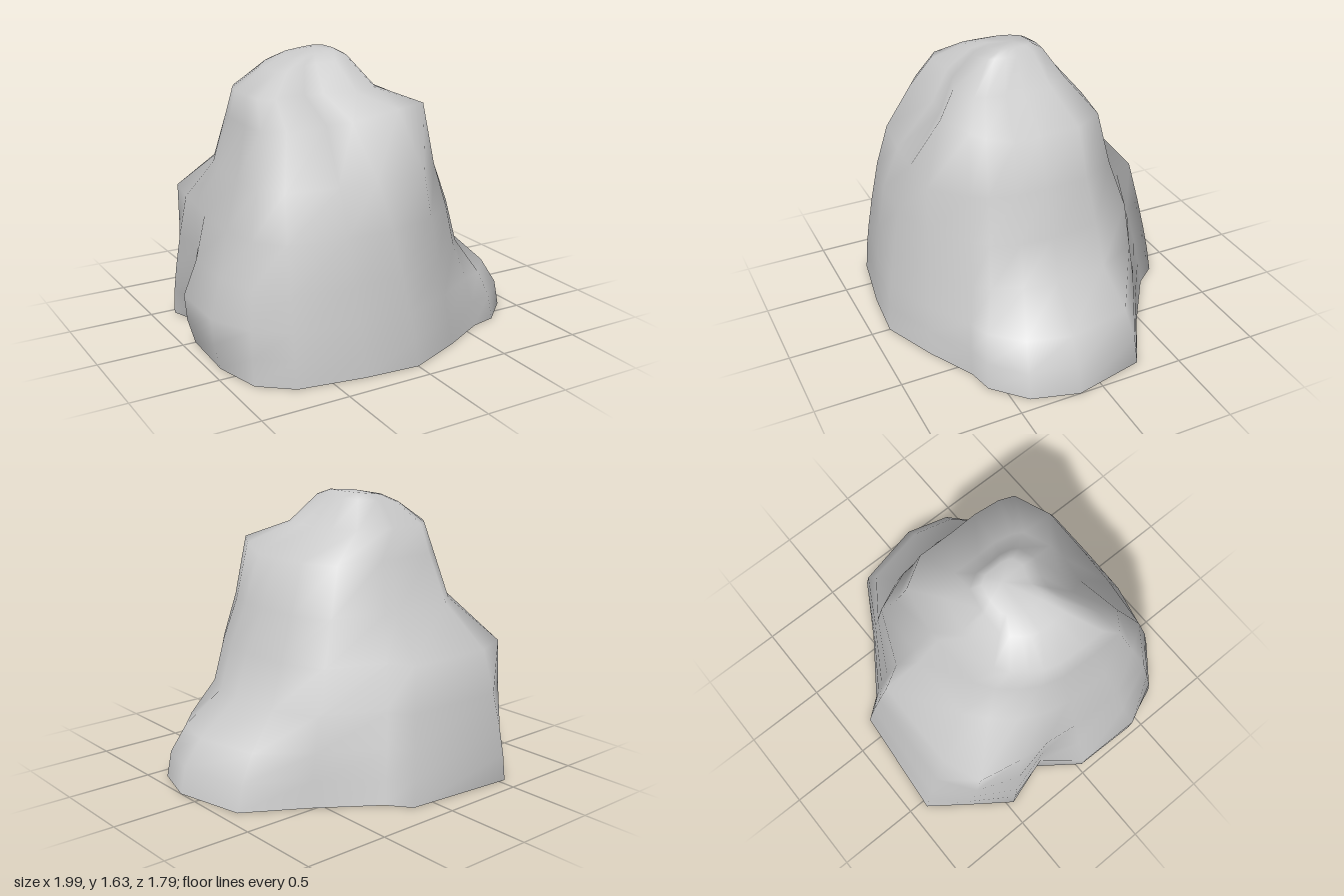
import * as THREE from 'three';

// Bearings (degrees, from +x towards +z) shared by every cross-section
const BEARINGS = [8, 24, 38, 46, 67, 90, 110, 131, 143, 158, 180, 195, 208, 224, 239, 279, 288, 320, 343];

// Key outlines of the main body: radius at each bearing
const FOOT = [0.77, 0.78, 0.81, 0.8, 0.82, 0.89, 0.92, 1.06, 1.09, 1.0, 0.91, 0.8, 0.98, 0.98, 1.05, 0.85, 0.75, 0.74, 0.77];
const WAIST = [0.66, 0.69, 0.72, 0.73, 0.75, 0.76, 0.8, 0.9, 0.91, 0.82, 0.75, 0.75, 0.8, 0.91, 0.84, 0.72, 0.61, 0.68, 0.65];
const CHEST = [0.58, 0.62, 0.66, 0.68, 0.73, 0.66, 0.69, 0.81, 0.79, 0.69, 0.63, 0.61, 0.6, 0.59, 0.59, 0.51, 0.5, 0.59, 0.59];
const SHOULDER = [0.52, 0.57, 0.62, 0.64, 0.59, 0.45, 0.46, 0.63, 0.66, 0.57, 0.52, 0.5, 0.48, 0.47, 0.46, 0.4, 0.41, 0.53, 0.54];

// Each level blends two outlines, then scales and shifts the result
const LEVELS = [
  ...[0, 0.15, 0.3, 0.5].map((y) => ({ y, from: FOOT, to: WAIST, t: (y / 0.75) ** 1.3 })),
  { y: 0.75, from: WAIST, to: CHEST, t: 0 },
  { y: 1.0, from: CHEST, to: SHOULDER, t: 0 },
  { y: 1.28, from: SHOULDER, to: SHOULDER, t: 0 },
  { y: 1.43, from: SHOULDER, to: SHOULDER, t: 0, scale: 0.72, shift: -0.09 },
  { y: 1.57, from: SHOULDER, to: SHOULDER, t: 0, scale: 0.43, shift: -0.05 },
  { y: 1.61, from: SHOULDER, to: SHOULDER, t: 0, scale: 0.27, shift: -0.01 },
];

// Flat-topped falloff around a bearing
function near(deg, centre, width) {
  const d = THREE.MathUtils.euclideanModulo(deg - centre + 180, 360) - 180;
  return Math.exp(-((d / width) ** 4));
}

// Low ledge on the +x side and an overhanging belly on the -x side
function swelling(deg, y) {
  const ledge = 0.24 * near(deg, 8, 34) * (1 - THREE.MathUtils.smoothstep(y, 0.2, 0.5));
  const belly = 0.09 * near(deg, 170, 22) * Math.exp(-(((y - 0.27) / 0.2) ** 2));
  return ledge + belly;
}

// The summit rises towards +x, and the front corner of the shoulder is raised
function lift(deg, y, dx) {
  if (y > 1.5) return dx * 0.13;
  return y === 1.28 ? 0.07 * near(deg, 57, 22) : 0;
}

function rockGeometry() {
  const n = BEARINGS.length;
  const positions = [];
  const indices = [];

  for (const { y, from, to, t, scale = 1, shift = 0 } of LEVELS) {
    const centreX = -0.12 * y + shift; // the rock leans towards -x as it rises
    BEARINGS.forEach((deg, j) => {
      const a = THREE.MathUtils.degToRad(deg);
      const r = scale * THREE.MathUtils.lerp(from[j], to[j], t) + swelling(deg, y);
      const dx = Math.cos(a) * r;
      positions.push(centreX + dx, y + lift(deg, y, dx), Math.sin(a) * r);
    });
  }
  const apex = positions.length / 3;
  positions.push(-0.15, 1.63, 0);

  LEVELS.forEach((_, i) => {
    for (let j = 0; j < n; j++) {
      const a = i * n + j;
      const b = i * n + ((j + 1) % n);
      if (i === LEVELS.length - 1) indices.push(a, apex, b);
      else indices.push(a, a + n, b, b, a + n, b + n);
    }
  });

  const geometry = new THREE.BufferGeometry();
  geometry.setAttribute('position', new THREE.Float32BufferAttribute(positions, 3));
  geometry.setIndex(indices);
  geometry.computeVertexNormals();
  return geometry;
}

export function createModel() {
  const group = new THREE.Group();
  group.name = 'boulder';
  // Hollow shell, open underneath
  const material = new THREE.MeshStandardMaterial({ color: 0xcccccc, side: THREE.DoubleSide });
  const rock = new THREE.Mesh(rockGeometry(), material);
  rock.name = 'rockShell';
  group.add(rock);
  return group;
}
